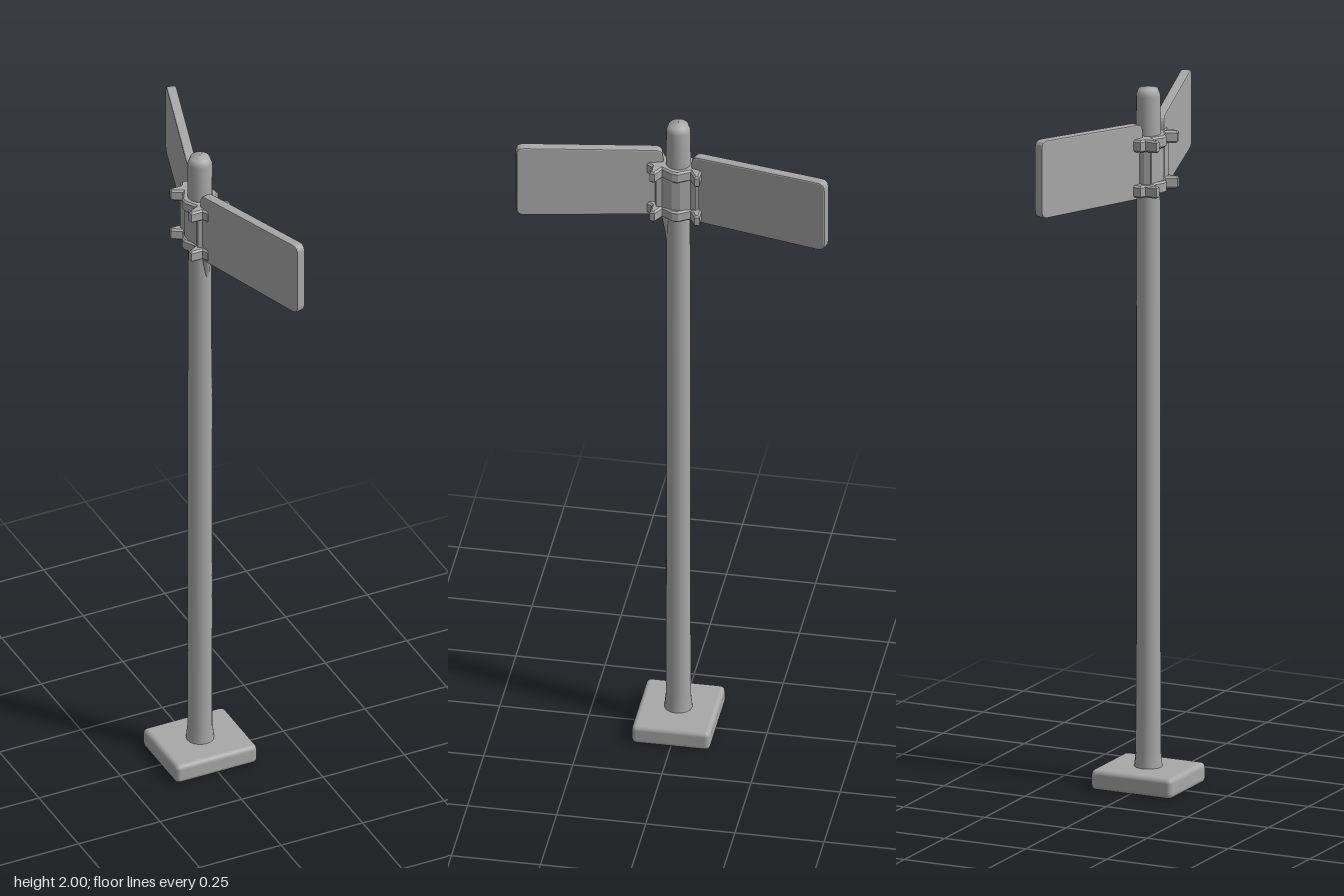
import * as THREE from 'three';
import { RoundedBoxGeometry } from 'three/addons/geometries/RoundedBoxGeometry.js';

const X0 = -0.006; // pole axis

export function createModel() {
  const grey = new THREE.MeshStandardMaterial({ color: 0xa8a8a8 });
  grey.name = 'weathered grey';
  const model = new THREE.Group();
  model.name = 'signPost';

  const add = (name, geometry, x = 0, y = 0, z = 0) => {
    const mesh = new THREE.Mesh(geometry, grey);
    mesh.name = name;
    mesh.position.set(x, y, z);
    model.add(mesh);
    return mesh;
  };

  // Base slab
  add('base', new RoundedBoxGeometry(0.25, 0.058, 0.22, 2, 0.014), X0, 0.029, 0);

  // Pole with a small flare at the foot and a worn, domed tip
  const profile = [
    [0.04, 0.05], [0.035, 0.1], [0.034, 0.6], [0.034, 1.2], [0.033, 1.7],
    [0.035, 1.86], [0.034, 1.975], [0.027, 1.994], [0, 2],
  ].map(([r, y]) => new THREE.Vector2(r, y));
  add('pole', new THREE.LatheGeometry(profile, 16), X0, 0, 0);

  // Flat piece in plan (x, z), raised from y to y + height
  const planSlab = (name, points, y, height) => {
    const shape = new THREE.Shape(points.map(([x, z]) => new THREE.Vector2(x, -z)));
    const bevel = 0.005;
    const geometry = new THREE.ExtrudeGeometry(shape, {
      depth: height - 2 * bevel, bevelThickness: bevel, bevelSize: bevel,
      bevelOffset: -bevel, bevelSegments: 1,
    });
    geometry.rotateX(-Math.PI / 2);
    add(name, geometry, X0, y + bevel, 0);
  };

  // Mirrors one quarter of an outline into a full loop
  const fourWay = (quarter) => {
    const back = [...quarter].reverse();
    return [
      ...quarter,
      ...back.map(([x, z]) => [-x, z]),
      ...quarter.map(([x, z]) => [-x, -z]),
      ...back.map(([x, z]) => [x, -z]),
    ];
  };

  // Bracket: slim core with flared clamp ears above and below
  const core = fourWay([[0.042, 0.012], [0.03, 0.04], [0.034, 0.056], [0.018, 0.062]]);
  const ears = fourWay([[0.052, 0.008], [0.033, 0.04], [0.062, 0.056], [0.06, 0.07], [0.026, 0.07], [0.018, 0.085]]);
  planSlab('bracketCore', core, 1.7, 0.155);
  planSlab('lowerClamp', ears, 1.7, 0.035);
  planSlab('upperClamp', ears, 1.83, 0.035);

  // Tapered rib below the bracket
  const rib = add('bracketRib', new THREE.CylinderGeometry(0.018, 0.004, 0.12, 8), X0 + 0.006, 1.645, 0.028);
  rib.rotation.x = 0.06;

  // Sign panel running from a to b in plan, its outer end slightly raised
  const addSign = (name, a, b) => {
    const dx = b[0] - a[0], dz = b[1] - a[1];
    const length = Math.hypot(dx, dz);
    const corners = [[0, 1.69], [length, 1.712], [length, 1.935], [0, 1.903]]
      .map(([u, y]) => new THREE.Vector2(u, y));
    const shape = new THREE.Shape();
    corners.forEach((p, i) => {
      const toward = (q) => p.clone().add(q.clone().sub(p).setLength(0.022));
      const start = toward(corners[(i + 3) % 4]);
      const end = toward(corners[(i + 1) % 4]);
      if (i === 0) shape.moveTo(start.x, start.y);
      else shape.lineTo(start.x, start.y);
      shape.quadraticCurveTo(p.x, p.y, end.x, end.y);
    });
    shape.closePath();
    const geometry = new THREE.ExtrudeGeometry(shape, {
      depth: 0.02, bevelThickness: 0.004, bevelSize: 0.004, bevelOffset: -0.004,
      bevelSegments: 2, curveSegments: 4,
    });
    geometry.translate(0, 0, -0.01);
    const sign = add(name, geometry, a[0], 0, a[1]);
    sign.rotation.y = Math.atan2(-dz, dx);
  };
  addSign('frontSign', [-0.017, 0.045], [0.092, 0.438]);
  addSign('backSign', [0, -0.043], [0.116, -0.438]);

  return model;
}
